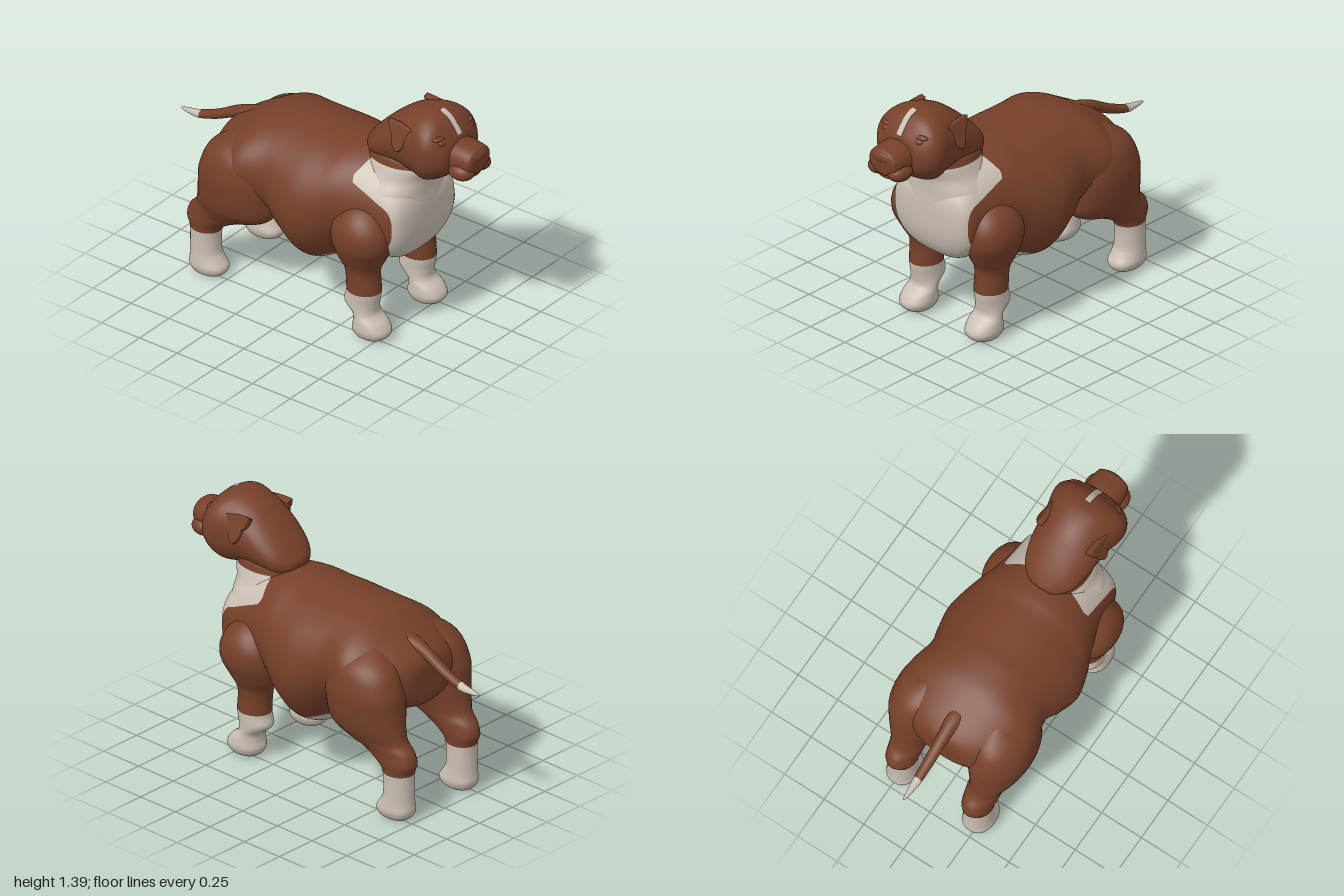
import * as THREE from 'three';

const brown = new THREE.MeshStandardMaterial({ color: 0x764029 });
brown.name = 'brown coat';
const cream = new THREE.MeshStandardMaterial({ color: 0xc9beb2 });
cream.name = 'cream markings';

// A station is [t, low, high, halfWidth, centreX, roundness]; sample them smoothly
function sampler(stations) {
  const curve = f => new THREE.CatmullRomCurve3(stations.map(f), false, 'catmullrom', 0.5);
  const a = curve(s => new THREE.Vector3(s[0], s[1], s[2]));
  const b = curve(s => new THREE.Vector3(s[3], s[4] ?? 0, s[5] ?? 2));
  return u => {
    const p = a.getPoint(u), q = b.getPoint(u);
    return { t: p.x, lo: p.y, hi: p.z, hw: Math.max(q.x, 0), cx: q.y, n: q.z };
  };
}

// Skin the stations along 'z' or 'y'; faces are cream where marking(x, y, z) > 0,
// and faces that straddle the outline are cut along it
function loft(name, axis, stations, { marking = () => -1, rows = 6, sides = 40, side = 1 } = {}) {
  const at = sampler(stations), pos = [], plain = [], marked = [], cuts = new Map();
  const total = rows * (stations.length - 1);
  const bend = (v, n) => Math.sign(v) * Math.pow(Math.abs(v), 2 / n);
  for (let i = 0; i <= total; i++) {
    const s = at(i / total), mid = (s.lo + s.hi) / 2, half = (s.hi - s.lo) / 2;
    for (let j = 0; j < sides; j++) {
      const ang = (j / sides) * Math.PI * 2;
      const x = side * s.cx + s.hw * bend(Math.cos(ang), s.n);
      const h = half * bend(Math.sin(ang), s.n);
      if (axis === 'z') pos.push(x, mid + h, s.t);
      else pos.push(x, s.t, mid - h);
    }
  }
  const value = v => marking(pos[v * 3], pos[v * 3 + 1], pos[v * 3 + 2]);
  const cut = (v, w) => {
    const key = Math.min(v, w) + ',' + Math.max(v, w);
    if (!cuts.has(key)) {
      const f = value(v), t = f / (f - value(w));
      cuts.set(key, pos.length / 3);
      for (let k = 0; k < 3; k++) pos.push(THREE.MathUtils.lerp(pos[v * 3 + k], pos[w * 3 + k], t));
    }
    return cuts.get(key);
  };
  const addFace = tri => {
    const inside = tri.map(v => value(v) > 0);
    const count = inside.filter(Boolean).length;
    if (count === 0) plain.push(...tri);
    else if (count === 3) marked.push(...tri);
    else {
      const lone = inside.indexOf(count === 1);
      const [a, b, c] = [0, 1, 2].map(k => tri[(lone + k) % 3]);
      const p = cut(a, b), q = cut(a, c);
      (count === 1 ? marked : plain).push(a, p, q);
      (count === 1 ? plain : marked).push(p, b, c, p, c, q);
    }
  };
  for (let i = 0; i < total; i++) {
    for (let j = 0; j < sides; j++) {
      const a = i * sides + j, b = i * sides + (j + 1) % sides;
      addFace([a, b, a + sides]);
      addFace([b, b + sides, a + sides]);
    }
  }
  const g = new THREE.BufferGeometry();
  g.setAttribute('position', new THREE.Float32BufferAttribute(pos, 3));
  g.setIndex([...plain, ...marked]);
  g.addGroup(0, plain.length, 0);
  g.addGroup(plain.length, marked.length, 1);
  g.computeVertexNormals();
  const mesh = new THREE.Mesh(g, [brown, cream]);
  mesh.name = name;
  return mesh;
}

// Piecewise straight line through [input, output] pairs
function along(pairs, v) {
  for (let i = 1; i < pairs.length; i++) {
    const [p, q] = [pairs[i - 1], pairs[i]];
    if (v <= q[0]) return THREE.MathUtils.mapLinear(Math.max(v, p[0]), p[0], q[0], p[1], q[1]);
  }
  return pairs[pairs.length - 1][1];
}

// Marking outlines: bib on the chest and patch under the belly
const bibEdge = [[0.46, 0.5], [0.52, 0.53], [0.7, 0.54], [0.78, 0.49], [0.85, 0.405], [0.91, 0.345], [0.95, 0.335], [1.02, 0.37]];
const bellyEdge = [[-0.2, 0.5], [-0.1, 0.4], [0.05, 0.35], [0.2, 0.38]];
const bib = (x, y, z) => Math.min(0.265 - Math.abs(x), 1.025 - y, z - along(bibEdge, y));
const belly = (x, y, z) => Math.min(0.26 - Math.abs(x), 0.22 - z, z + 0.22, along(bellyEdge, z) - y);

function ball(name, x, y, z, rx, ry, rz) {
  const mesh = new THREE.Mesh(new THREE.SphereGeometry(1, 24, 16), brown);
  mesh.name = name;
  mesh.position.set(x, y, z);
  mesh.scale.set(rx, ry, rz);
  return mesh;
}

// Folded ear flap, drawn in z (across) and y (down)
function ear(side) {
  const s = new THREE.Shape();
  s.moveTo(-0.07, 0.008);
  s.quadraticCurveTo(0, 0.01, 0.075, -0.008);
  s.quadraticCurveTo(0.045, -0.04, 0.045, -0.08);
  s.quadraticCurveTo(0.035, -0.14, 0.005, -0.145);
  s.quadraticCurveTo(-0.03, -0.12, -0.035, -0.06);
  s.quadraticCurveTo(-0.06, -0.04, -0.07, 0.008);
  const g = new THREE.ExtrudeGeometry(s, {
    depth: 0.02, bevelSize: 0.005, bevelThickness: 0.008, bevelSegments: 3, curveSegments: 10,
  });
  g.translate(0, 0, -0.01).rotateY(-Math.PI / 2);
  const mesh = new THREE.Mesh(g, brown);
  mesh.name = side > 0 ? 'leftEar' : 'rightEar';
  mesh.position.set(side * 0.155, 1.305, 0.58);
  mesh.rotation.z = side * 0.3;
  return mesh;
}

export function createModel() {
  const dog = new THREE.Group();
  dog.name = 'dog';

  // Trunk and neck
  dog.add(loft('body', 'z', [
    [-0.64, 0.72, 0.72, 0], [-0.635, 0.6, 0.83, 0.16], [-0.58, 0.56, 0.89, 0.28], [-0.48, 0.53, 0.95, 0.36],
    [-0.35, 0.5, 1.02, 0.395], [-0.2, 0.46, 1.05, 0.365], [-0.1, 0.36, 1.05, 0.39], [0.03, 0.277, 1.05, 0.415],
    [0.15, 0.33, 1.05, 0.39], [0.25, 0.42, 1.06, 0.35], [0.38, 0.43, 1.05, 0.31],
    [0.5, 0.435, 1.0, 0.29, 0, 2.2], [0.58, 0.475, 0.94, 0.278, 0, 2.5], [0.63, 0.54, 0.89, 0.235, 0, 2.5],
    [0.655, 0.63, 0.82, 0.14, 0, 2.3], [0.66, 0.73, 0.73, 0],
  ], { marking: (x, y, z) => Math.max(bib(x, y, z), belly(x, y, z)), rows: 8, sides: 112 }));
  dog.add(loft('neck', 'y', [
    [0.55, 0.45, 0.45, 0], [0.6, 0.3, 0.61, 0.2], [0.75, 0.29, 0.655, 0.255, 0, 2.4],
    [0.87, 0.28, 0.655, 0.25, 0, 2.4], [0.95, 0.28, 0.66, 0.2, 0, 2.3],
    [1.02, 0.29, 0.685, 0.17, 0, 2.2], [1.08, 0.31, 0.66, 0.14], [1.1, 0.5, 0.5, 0],
  ], { marking: bib, rows: 10, sides: 80 }));

  // Head
  const headStations = [
    [0.28, 1.09, 1.09, 0], [0.3, 1.03, 1.12, 0.08], [0.36, 1.0, 1.19, 0.145], [0.45, 1.0, 1.275, 0.177],
    [0.55, 1.0, 1.35, 0.19], [0.65, 0.985, 1.385, 0.2, 0, 2.2], [0.72, 0.98, 1.385, 0.217, 0, 2.3],
    [0.78, 1.01, 1.36, 0.215, 0, 2.3], [0.83, 1.045, 1.305, 0.18, 0, 2.2], [0.86, 1.08, 1.25, 0.12],
    [0.87, 1.16, 1.16, 0],
  ];
  const head = new THREE.Group();
  head.name = 'head';
  head.add(loft('skull', 'z', headStations, { rows: 8, sides: 64 }));

  // Blaze, a thin strip that follows the forehead
  const skullAt = sampler(headStations), blaze = [];
  for (let u = 0.5; u < 0.95; u += 0.008) {
    const s = skullAt(u);
    if (s.t > 0.73 && s.t < 0.853) blaze.push([s.t, s.hi - 0.03, s.hi + 0.004, 0.018, 0, 8]);
  }
  head.add(loft('blaze', 'z', blaze, { marking: () => 1, rows: 1, sides: 32 }));

  // Muzzle, nose and chin
  head.add(loft('muzzle', 'z', [
    [0.76, 1.06, 1.24, 0.12], [0.86, 1.065, 1.25, 0.108, 0, 2.2], [0.95, 1.075, 1.24, 0.1, 0, 2.2],
    [0.985, 1.1, 1.225, 0.08, 0, 2.2], [0.993, 1.16, 1.16, 0],
  ], { rows: 8 }));
  head.add(ball('nose', 0, 1.19, 0.96, 0.085, 0.044, 0.04));
  head.add(ball('chin', 0, 1.075, 0.9, 0.085, 0.026, 0.07));
  for (const side of [1, -1]) {
    head.add(ball('jowl', side * 0.07, 1.105, 0.915, 0.06, 0.05, 0.075));
    head.add(ball('eye', side * 0.115, 1.265, 0.818, 0.034, 0.022, 0.024));
    head.add(ball('brow', side * 0.12, 1.288, 0.8, 0.045, 0.016, 0.03));
    head.add(ear(side));
  }
  dog.add(head);

  // Legs with cream socks
  const marking = (x, y) => 0.272 - y;
  for (const side of [1, -1]) {
    const label = side > 0 ? 'left' : 'right';
    dog.add(loft(label + 'FrontLeg', 'y', [
      [0, 0.45, 0.45, 0, 0.235], [0.008, 0.375, 0.525, 0.062, 0.238, 2.2], [0.05, 0.345, 0.56, 0.09, 0.238, 2.3],
      [0.1, 0.352, 0.535, 0.09, 0.237, 2.2], [0.145, 0.345, 0.485, 0.083, 0.235], [0.2, 0.287, 0.485, 0.085, 0.235],
      [0.272, 0.3, 0.495, 0.087, 0.235], [0.4, 0.29, 0.49, 0.09, 0.236], [0.48, 0.25, 0.53, 0.115, 0.245],
      [0.58, 0.23, 0.575, 0.15, 0.25, 2.2], [0.68, 0.24, 0.57, 0.145, 0.25, 2.2], [0.77, 0.3, 0.51, 0.1, 0.235],
      [0.83, 0.4, 0.4, 0, 0.21],
    ], { marking, side }));
    dog.add(loft(label + 'HindLeg', 'y', [
      [0, -0.63, -0.63, 0, 0.24], [0.008, -0.705, -0.545, 0.06, 0.24, 2.2], [0.05, -0.735, -0.515, 0.086, 0.24, 2.3],
      [0.1, -0.735, -0.54, 0.084, 0.24], [0.15, -0.733, -0.56, 0.08, 0.24], [0.272, -0.735, -0.555, 0.08, 0.24],
      [0.33, -0.757, -0.5, 0.086, 0.24], [0.39, -0.742, -0.38, 0.093, 0.24], [0.44, -0.695, -0.25, 0.112, 0.245],
      [0.5, -0.675, -0.19, 0.14, 0.25], [0.6, -0.66, -0.18, 0.162, 0.25, 2.1], [0.72, -0.645, -0.185, 0.165, 0.25, 2.1],
      [0.85, -0.58, -0.23, 0.13, 0.235], [0.95, -0.4, -0.4, 0, 0.2],
    ], { marking, side }));
  }

  // Tail with a cream tip
  dog.add(loft('tail', 'z', [
    [-1, 0.75, 0.75, 0], [-0.985, 0.743, 0.759, 0.008], [-0.92, 0.735, 0.772, 0.019], [-0.865, 0.737, 0.785, 0.025],
    [-0.75, 0.775, 0.833, 0.03], [-0.62, 0.835, 0.905, 0.035], [-0.5, 0.87, 0.945, 0.045], [-0.42, 0.92, 0.92, 0],
  ], { marking: (x, y, z) => -0.865 - z, sides: 20 }));

  return dog;
}
